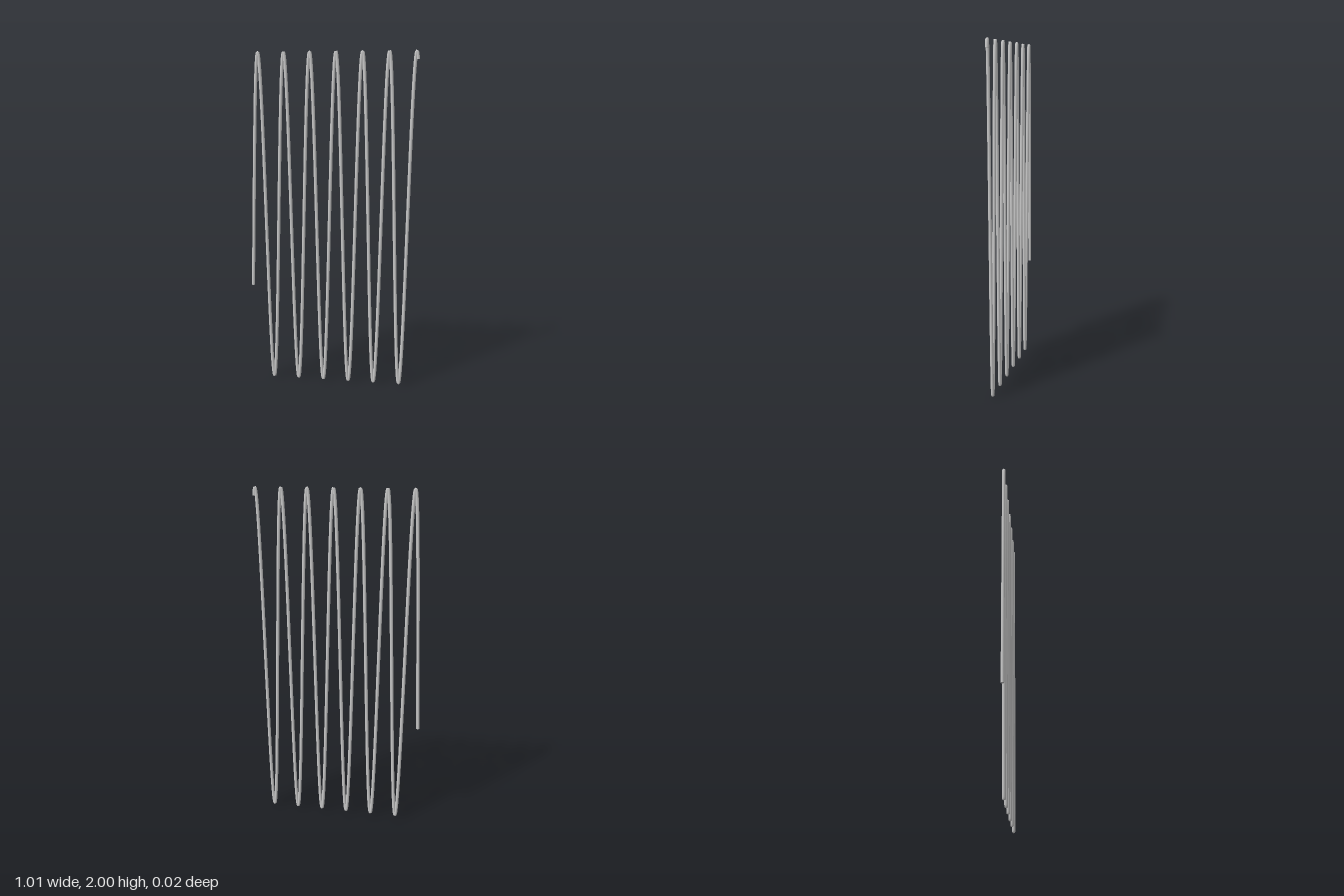
import * as THREE from 'three';

const RADIUS = 0.0099;
const HALF_WIDTH = 0.495;
const AMPLITUDE = 1 - RADIUS;
const PHASE_START = -2, PHASE_END = 38;

// Planar cosine wave, sampled evenly across its width so the tight bends stay smooth
class WaveCurve extends THREE.Curve {
  getPoint(t, target = new THREE.Vector3()) {
    const phase = THREE.MathUtils.lerp(PHASE_START, PHASE_END, t);
    return target.set(THREE.MathUtils.lerp(-HALF_WIDTH, HALF_WIDTH, t), 1 + AMPLITUDE * Math.cos(phase), 0);
  }
  getPointAt(t, target) { return this.getPoint(t, target); }
  getTangentAt(t, target) { return this.getTangent(t, target); }
}

export function createModel() {
  const group = new THREE.Group();
  group.name = 'waveWire';
  const material = new THREE.MeshStandardMaterial({ color: 0xcccccc });
  const curve = new WaveCurve();

  // Wire
  const wire = new THREE.Mesh(new THREE.TubeGeometry(curve, 640, RADIUS, 8, false), material);
  wire.name = 'wire';
  group.add(wire);

  // Flat ends of the wire
  for (const [name, t, sign] of [['rightEndCap', 0, -1], ['leftEndCap', 1, 1]]) {
    const cap = new THREE.Mesh(new THREE.CircleGeometry(RADIUS, 8), material);
    cap.name = name;
    cap.position.copy(curve.getPoint(t));
    const outward = curve.getTangent(t).multiplyScalar(sign);
    cap.quaternion.setFromUnitVectors(new THREE.Vector3(0, 0, 1), outward);
    group.add(cap);
  }
  return group;
}
